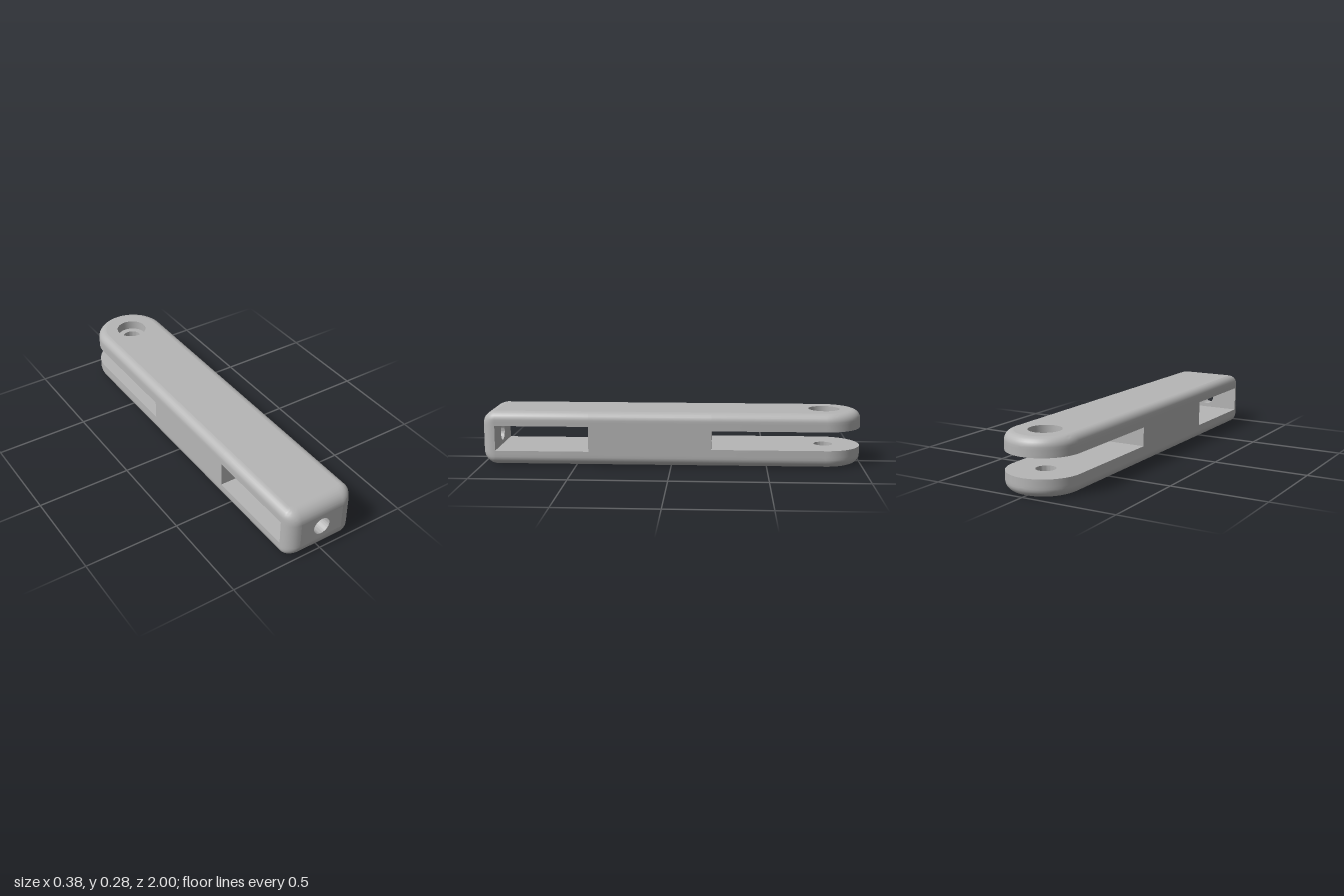
import * as THREE from 'three';
import { toCreasedNormals } from 'three/addons/utils/BufferGeometryUtils.js';

const W = 0.192, H = 0.283, MID = H / 2;      // half width, height, mid height
const EDGE = 0.045, NOSE = 0.07;              // long edge and front edge fillets
const PIVOT = -1 + W;                         // z of the pivot hole
const GAP = { y0: 0.092, y1: H - 0.092, z: -0.21 };
const POCKET = { y0: 0.075, y1: H - 0.075, z0: 0.435, z1: 1 - NOSE };
const BORE = 0.046;

// How far a fillet of radius r pulls the outline in at height y
function inset(y, r) {
  const d = r - Math.min(y, H - y);
  return d <= 0 ? 0 : r - Math.sqrt(Math.max(0, r * r - d * d));
}

// Plan outline at height y: straight sides, rounded front corners, round rear
function outline(y) {
  const a = inset(y, EDGE), b = inset(y, NOSE), w = W - a;
  const side = [PIVOT, GAP.z, POCKET.z0].map((z) => [w, z]);
  for (let i = 0; i <= 8; i++) {
    const t = (i / 8) * Math.PI / 2;
    side.push([W - NOSE + (NOSE - a) * Math.cos(t), 1 - NOSE + (NOSE - b) * Math.sin(t)]);
  }
  const pts = [...side, ...side.map(([x, z]) => [-x, z]).reverse()];
  for (let i = 1; i < 32; i++) {
    const t = (i / 32) * Math.PI;
    pts.push([-w * Math.cos(t), PIVOT - w * Math.sin(t)]);
  }
  return pts;
}

// Filleted outer skin, left open at the fork gap, side pocket and front panel
function skinGeometry() {
  const half = [EDGE, POCKET.y0, GAP.y0];
  for (let i = 0; i <= 8; i++) half.push(NOSE * (1 - Math.cos((i / 8) * Math.PI / 2)));
  const ys = [...half, ...half.map((y) => H - y)].sort((p, q) => p - q);
  const rows = ys.map(outline), plan = outline(MID), n = plan.length;
  const pos = [], index = [];
  rows.forEach((row, j) => row.forEach(([x, z]) => pos.push(x, ys[j], z)));
  for (let j = 0; j < ys.length - 1; j++) {
    const y = (ys[j] + ys[j + 1]) / 2;
    const inGap = y > GAP.y0 && y < GAP.y1, inPocket = y > POCKET.y0 && y < POCKET.y1;
    for (let i = 0; i < n; i++) {
      const k = (i + 1) % n, z = (plan[i][1] + plan[k][1]) / 2;
      if (inGap && z < GAP.z) continue;
      if (inPocket && ((z > POCKET.z0 && z < POCKET.z1) || z > 0.9999)) continue;
      const a = j * n + i, b = j * n + k;
      index.push(a, a + n, b, b, a + n, b + n);
    }
  }
  const g = new THREE.BufferGeometry();
  g.setAttribute('position', new THREE.Float32BufferAttribute(pos, 3));
  g.setIndex(index);
  return toCreasedNormals(g, 0.7);
}

function circleHole(x, y, r) {
  return new THREE.Path().absarc(x, y, r, 0, Math.PI * 2, true);
}

// Horizontal face from [x, z] points, facing up or down, with an optional pivot hole
function level(pts, y, up, hole) {
  const s = up ? -1 : 1;
  const shape = new THREE.Shape(pts.map(([x, z]) => new THREE.Vector2(x, s * z)));
  if (hole) shape.holes.push(circleHole(0, s * PIVOT, hole));
  return new THREE.ShapeGeometry(shape, 24).rotateX(s * Math.PI / 2).translate(0, y, 0);
}

// Upright rectangle across the body, facing front or back, with an optional bore
function upright(w, y0, y1, z, front, hole) {
  const shape = new THREE.Shape([[-w, y0], [w, y0], [w, y1], [-w, y1]].map((p) => new THREE.Vector2(...p)));
  if (hole) shape.holes.push(circleHole(0, MID, hole));
  return new THREE.ShapeGeometry(shape, 24).rotateY(front ? 0 : Math.PI).translate(0, 0, z);
}

// Inside surface of a round hole; the profile runs downwards
function holeWall(profile) {
  const pts = profile.map((p) => new THREE.Vector2(...p));
  return toCreasedNormals(new THREE.LatheGeometry(pts, 48), 0.7);
}

export function createModel() {
  const group = new THREE.Group();
  const grey = new THREE.MeshStandardMaterial({ color: 0xb6b6b6 });
  grey.name = 'grey';
  grey.side = THREE.DoubleSide;
  const add = (name, geometry) => {
    const mesh = new THREE.Mesh(geometry, grey);
    mesh.name = name;
    group.add(mesh);
  };

  // Body shell
  const topR = 0.082, bottomR = 0.075, pinR = 0.05, depth = 0.05;
  add('bodySkin', skinGeometry());
  add('topFace', level(outline(H), H, true, topR));
  add('bottomFace', level(outline(0), 0, false, bottomR));
  add('frontPanel', upright(W - NOSE, POCKET.y0, POCKET.y1, 1, true, BORE));

  // Fork gap at the rear
  const fork = outline(MID).filter(([, z]) => z <= GAP.z + 1e-6);
  add('forkGapFloor', level(fork, GAP.y0, true, pinR));
  add('forkGapCeiling', level(fork, GAP.y1, false, pinR));
  add('forkGapEnd', upright(W, GAP.y0, GAP.y1, GAP.z, false));

  // Stepped pivot holes through both prongs
  add('upperPivotHole', holeWall([[topR, H], [topR, H - depth], [pinR, H - depth], [pinR, GAP.y1]]).translate(0, 0, PIVOT));
  add('lowerPivotHole', holeWall([[pinR, GAP.y0], [pinR, depth], [bottomR, depth], [bottomR, 0]]).translate(0, 0, PIVOT));

  // Pocket through the sides near the front
  const { y0, y1, z0, z1 } = POCKET;
  const rect = [[-W, z0], [W, z0], [W, z1], [-W, z1]];
  add('pocketFloor', level(rect, y0, true));
  add('pocketCeiling', level(rect, y1, false));
  add('pocketRearWall', upright(W, y0, y1, z0, true));
  add('pocketFrontWall', upright(W, y0, y1, z1, false, BORE));

  // Bore from the front end into the pocket
  add('frontBore', holeWall([[BORE, NOSE], [BORE, 0]]).rotateX(Math.PI / 2).translate(0, MID, z1));

  return group;
}
